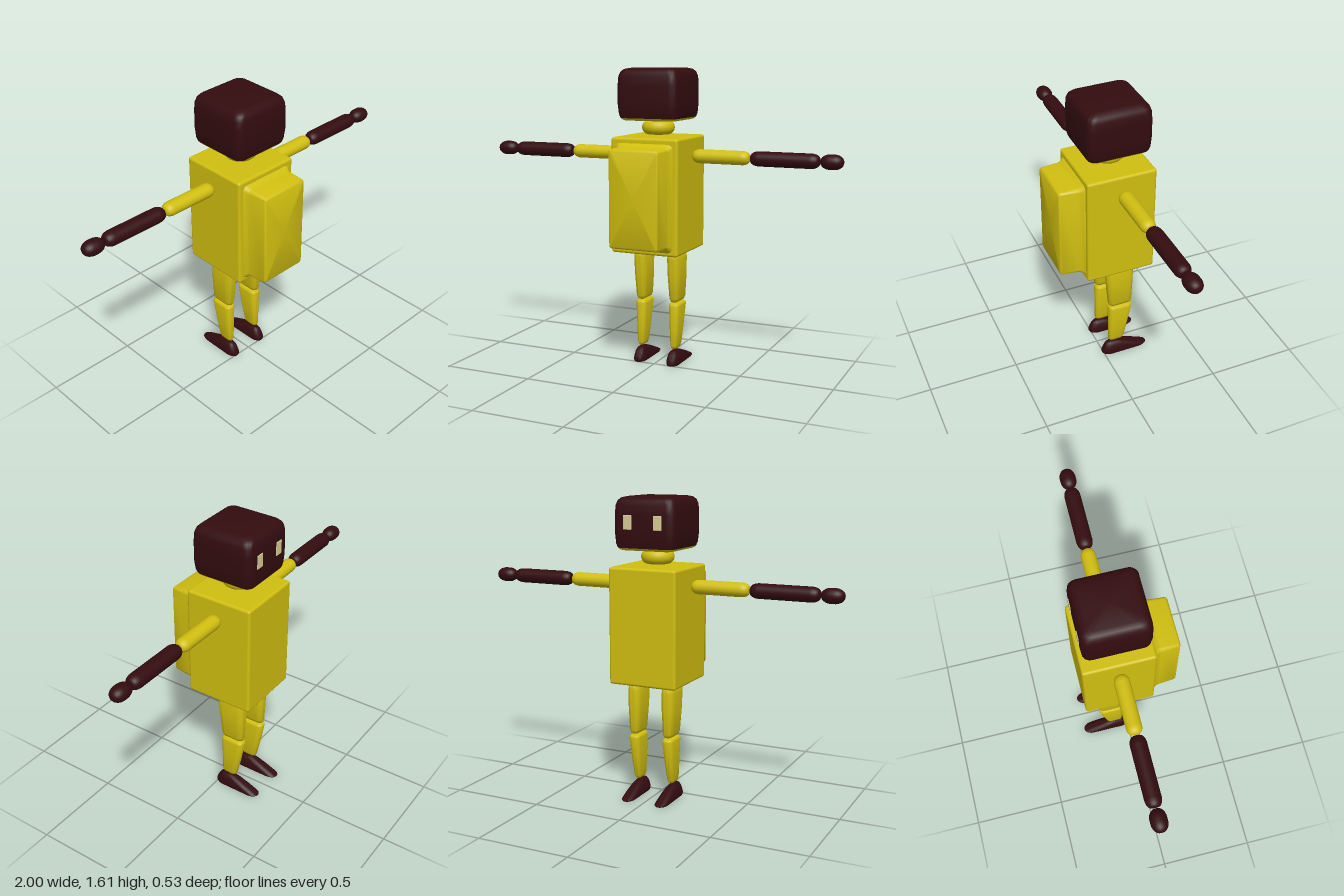
import * as THREE from 'three';
import { RoundedBoxGeometry } from 'three/addons/geometries/RoundedBoxGeometry.js';
import { toCreasedNormals } from 'three/addons/utils/BufferGeometryUtils.js';

const yellow = new THREE.MeshStandardMaterial({ color: 0xd0be10 });
yellow.name = 'suit yellow';
const maroon = new THREE.MeshStandardMaterial({ color: 0x330c0f });
maroon.name = 'dark maroon';
const cream = new THREE.MeshStandardMaterial({ color: 0xd8cc96 });
cream.name = 'eye cream';

const BODY_Z = -0.062;

// Solid through rounded-rectangle sections [y, halfWidth, zMin, zMax, cornerRadius], bottom to top
function loft(sections, crease = 0.7) {
  const steps = 6, n = 4 * (steps + 1), pos = [], idx = [];
  for (const [y, hx, z0, z1, radius] of sections) {
    const hz = (z1 - z0) / 2, cz = (z0 + z1) / 2;
    const rx = Math.min(radius, hx * 0.98), rz = Math.min(radius, hz * 0.98);
    for (let c = 0; c < 4; c++) {
      const sx = c === 0 || c === 3 ? 1 : -1, sz = c < 2 ? 1 : -1;
      for (let k = 0; k <= steps; k++) {
        const a = (c + k / steps) * Math.PI / 2;
        pos.push(sx * (hx - rx) + rx * Math.cos(a), y, cz + sz * (hz - rz) + rz * Math.sin(a));
      }
    }
  }
  const rings = sections.length;
  for (let i = 0; i < rings - 1; i++) {
    for (let j = 0; j < n; j++) {
      const a = i * n + j, b = i * n + (j + 1) % n, c = a + n, d = b + n;
      idx.push(a, c, b, b, c, d);
    }
  }
  // End caps
  for (const i of [0, rings - 1]) {
    const [y, , z0, z1] = sections[i], centre = pos.length / 3;
    pos.push(0, y, (z0 + z1) / 2);
    for (let j = 0; j < n; j++) {
      const a = i * n + j, b = i * n + (j + 1) % n;
      if (i === 0) idx.push(centre, a, b); else idx.push(centre, b, a);
    }
  }
  const g = new THREE.BufferGeometry();
  g.setAttribute('position', new THREE.Float32BufferAttribute(pos, 3));
  g.setIndex(idx);
  return toCreasedNormals(g, crease);
}

// Round bar along y with elliptical ends: core is the flat radius at the tips
function bar(length, radius, end, core = 0) {
  const pts = [], steps = 8, h = length / 2;
  for (const s of [-1, 1]) {
    for (let k = 0; k <= steps; k++) {
      const a = (s < 0 ? k : steps - k) / steps * Math.PI / 2;
      pts.push(new THREE.Vector2(core + (radius - core) * Math.sin(a), s * (h - end + end * Math.cos(a))));
    }
  }
  if (core > 0) {
    pts.unshift(new THREE.Vector2(0, -h));
    pts.push(new THREE.Vector2(0, h));
  }
  return new THREE.LatheGeometry(pts, 28);
}

export function createModel() {
  const model = new THREE.Group();
  model.name = 'blockFigure';
  const add = (name, geometry, material, x = 0, y = 0, z = 0) => {
    const mesh = new THREE.Mesh(geometry, material);
    mesh.name = name;
    mesh.position.set(x, y, z);
    model.add(mesh);
    return mesh;
  };

  // Torso
  add('torso', new RoundedBoxGeometry(0.38, 0.615, 0.38, 3, 0.014), yellow, 0, 0.943, -0.06);

  // Backpack, lofted along +z with a flared base
  const pack = loft([
    [0.12, 0.168, -1.226, -0.65, 0.03],
    [0.134, 0.162, -1.22, -0.658, 0.03],
    [0.148, 0.15, -1.208, -0.67, 0.025],
    [0.165, 0.146, -1.203, -0.675, 0.02],
    [0.252, 0.139, -1.2, -0.683, 0.015],
    [0.261, 0.136, -1.195, -0.687, 0.014],
    [0.265, 0.129, -1.188, -0.695, 0.01],
  ]);
  pack.rotateX(Math.PI / 2);
  add('backpack', pack, yellow);

  // Neck
  add('neck', bar(0.075, 0.087, 0.036, 0.05), yellow, 0, 1.296, -0.058);

  // Head with a yellow underside
  add('head', loft([
    [1.349, 0.16, -0.228, 0.103, 0.04],
    [1.37, 0.167, -0.232, 0.109, 0.04],
    [1.42, 0.171, -0.235, 0.114, 0.04],
    [1.52, 0.171, -0.235, 0.114, 0.04],
    [1.565, 0.168, -0.232, 0.111, 0.04],
    [1.588, 0.16, -0.225, 0.104, 0.04],
    [1.602, 0.146, -0.212, 0.09, 0.04],
    [1.608, 0.122, -0.188, 0.066, 0.035],
  ]), maroon);
  add('headUnderside', loft([
    [1.336, 0.142, -0.21, 0.085, 0.035],
    [1.341, 0.153, -0.221, 0.096, 0.04],
    [1.349, 0.16, -0.228, 0.103, 0.04],
  ]), yellow);

  for (const s of [-1, 1]) {
    const side = s > 0 ? 'left' : 'right';

    // Eyes on the face
    add(side + 'Eye', new RoundedBoxGeometry(0.046, 0.074, 0.008, 2, 0.003), cream, s * 0.084, 1.48, -0.235);

    // Arm segments
    const segments = [
      ['UpperArm', 0.2, 0.512, 0.037, 0.04, 0.012, yellow],
      ['Forearm', 0.52, 0.878, 0.039, 0.045, 0.016, maroon],
      ['Hand', 0.884, 1, 0.039, 0.05, 0.006, maroon],
    ];
    for (const [name, x0, x1, r, end, core, material] of segments) {
      const g = bar(x1 - x0, r, end, core);
      g.rotateZ(-Math.PI / 2);
      g.scale(1, 1, 1.1);
      add(side + name, g, material, s * (x0 + x1) / 2, 1.15, BODY_Z);
    }

    // Leg segments
    add(side + 'Thigh', loft([
      [0.347, 0.012, -0.145, -0.045, 0.02],
      [0.352, 0.021, -0.158, -0.033, 0.025],
      [0.37, 0.028, -0.164, -0.026, 0.03],
      [0.5, 0.035, -0.169, -0.013, 0.035],
      [0.59, 0.035, -0.17, -0.005, 0.035],
      [0.615, 0.03, -0.168, -0.005, 0.03],
      [0.627, 0.02, -0.16, -0.012, 0.025],
      [0.631, 0.01, -0.15, -0.022, 0.02],
    ], 1), yellow, s * 0.098);
    add(side + 'Shin', loft([
      [0.085, 0.009, -0.105, -0.042, 0.02],
      [0.09, 0.015, -0.114, -0.034, 0.02],
      [0.105, 0.019, -0.122, -0.029, 0.02],
      [0.2, 0.025, -0.143, -0.028, 0.025],
      [0.325, 0.031, -0.165, -0.028, 0.028],
      [0.336, 0.029, -0.163, -0.03, 0.026],
      [0.341, 0.022, -0.152, -0.038, 0.02],
    ], 1), yellow, s * 0.098);

    // Foot, toe pointing to -z
    add(side + 'Foot', loft([
      [0, 0.033, -0.258, 0.006, 0.05],
      [0.006, 0.035, -0.263, 0.01, 0.05],
      [0.015, 0.035, -0.245, 0.011, 0.05],
      [0.035, 0.033, -0.2, 0.004, 0.05],
      [0.055, 0.028, -0.15, -0.006, 0.04],
      [0.07, 0.02, -0.11, -0.018, 0.03],
      [0.078, 0.01, -0.08, -0.035, 0.02],
    ]), maroon, s * 0.098);
  }
  return model;
}
